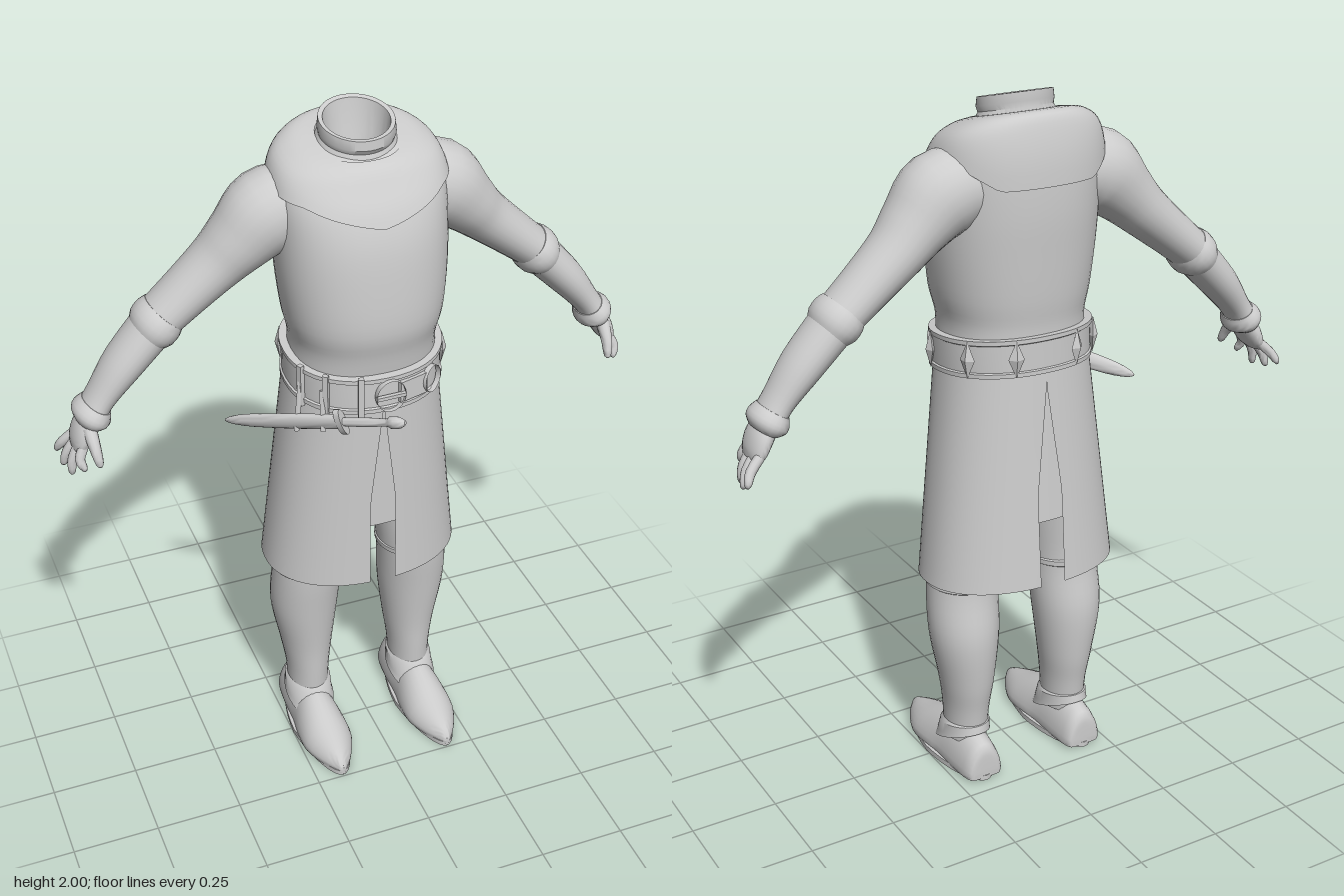
import * as THREE from 'three';
import { toCreasedNormals } from 'three/addons/utils/BufferGeometryUtils.js';

const TAU = Math.PI * 2;
const V = (x, y, z) => new THREE.Vector3(x, y, z);

// Smooth value of a table of rows at row position u
function rowAt(rows, u) {
  const last = rows.length - 1;
  const i = Math.min(Math.floor(u), last - 1), t = u - i;
  const get = (j) => rows[Math.max(0, Math.min(last, j))];
  return rows[0].map((_, k) => {
    const a = get(i - 1)[k], b = get(i)[k], c = get(i + 1)[k], d = get(i + 2)[k];
    return b + 0.5 * t * (c - a + t * (2 * a - 5 * b + 4 * c - d + t * (3 * (b - c) + d - a)));
  });
}
function dense(rows, k) {
  const out = [];
  for (let i = 0; i <= (rows.length - 1) * k; i++) out.push(rowAt(rows, i / k));
  return out;
}

// Point on a level section [y, cx, rx, zFront, zBack, tilt]; angle 0 faces the front
function sectionPoint([y, cx, rx, zf, zb, tilt = 0], a, off = 0, p = 2) {
  const pow = (v) => Math.sign(v) * Math.abs(v) ** (2 / p);
  const z = (zf + zb) / 2 + ((zf - zb) / 2 + off) * pow(Math.cos(a));
  return V(cx + (rx + off) * pow(Math.sin(a)), y + tilt * (z + 0.08), z);
}
const section = (row, p = 2, off = 0, n = 48) =>
  Array.from({ length: n }, (_, i) => sectionPoint(row, (i / n) * TAU, off, p));

// Skin over a list of rings
function loft(rings, { closed = true, capStart = false, capEnd = false } = {}) {
  const n = rings[0].length, pts = rings.flat(), idx = [];
  for (let i = 0; i < rings.length - 1; i++)
    for (let j = 0; j < (closed ? n : n - 1); j++) {
      const a = i * n + j, b = i * n + ((j + 1) % n);
      idx.push(a, b, a + n, b, b + n, a + n);
    }
  const cap = (ring, start, flip) => {
    const c = ring.reduce((s, q) => s.add(q), V(0, 0, 0)).divideScalar(n);
    const k = pts.push(c) - 1;
    for (let j = 0; j < n; j++) {
      const a = start + j, b = start + ((j + 1) % n);
      idx.push(k, flip ? b : a, flip ? a : b);
    }
  };
  if (capStart) cap(rings[0], 0, true);
  if (capEnd) cap(rings[rings.length - 1], (rings.length - 1) * n, false);
  // keep faces pointing outward
  const mid = pts.reduce((s, q) => s.add(q), V(0, 0, 0)).divideScalar(pts.length);
  let vol = 0;
  for (let i = 0; i < idx.length; i += 3) {
    const [a, b, c] = [0, 1, 2].map((k) => pts[idx[i + k]].clone().sub(mid));
    vol += a.dot(b.cross(c));
  }
  if (vol < 0) idx.reverse();
  const g = new THREE.BufferGeometry().setFromPoints(pts);
  g.setIndex(idx);
  return g;
}

// Tapered limb through rows [x, y, z, radius in plane, radius across]
function limb(rows, k = 4, n = 24) {
  const d = dense(rows, k), c = d.map((r) => V(r[0], r[1], r[2]));
  const rings = d.map((r, i) => {
    const t = c[Math.min(i + 1, c.length - 1)].clone().sub(c[Math.max(i - 1, 0)]).normalize();
    const u = t.clone().cross(V(0, 0, 1)).normalize(), v = t.clone().cross(u);
    return Array.from({ length: n }, (_, j) => c[i].clone()
      .addScaledVector(u, r[3] * Math.cos((j / n) * TAU))
      .addScaledVector(v, r[4] * Math.sin((j / n) * TAU)));
  });
  return loft(rings, { capStart: true, capEnd: true });
}

function mirrored(g) {
  const m = g.clone().scale(-1, 1, 1);
  m.setIndex(Array.from(g.index.array).reverse());
  return m;
}

export function createModel() {
  const model = new THREE.Group();
  const grey = new THREE.MeshStandardMaterial({ color: 0xcccccc, side: THREE.DoubleSide });
  grey.name = 'plain grey';
  const add = (name, g, crease = 0.8) => {
    g.deleteAttribute('normal');
    const mesh = new THREE.Mesh(toCreasedNormals(g, crease), grey);
    mesh.name = name;
    model.add(mesh);
  };
  const pair = (name, g, crease) => {
    add(name + 'Left', g.clone(), crease);
    add(name + 'Right', mirrored(g), crease);
  };

  // Tunic body
  const torso = [
    [1.93, 0, 0.105, 0.02, -0.17, -0.25], [1.92, 0, 0.16, 0.045, -0.205, -0.25],
    [1.885, 0, 0.21, 0.07, -0.225, -0.2], [1.81, 0, 0.232, 0.11, -0.243, -0.1],
    [1.7, 0, 0.234, 0.14, -0.248, 0], [1.58, 0, 0.23, 0.155, -0.243, 0],
    [1.46, 0, 0.217, 0.16, -0.236, 0], [1.38, 0, 0.2, 0.143, -0.228, 0],
    [1.3, 0, 0.205, 0.13, -0.23, 0],
  ];
  add('tunicBody', loft(dense(torso, 4).map((r) => section(r, 2.3))));

  // Shoulder mantle, pointed at front and back
  const mantle = [];
  for (let i = 0; i <= 13; i++) {
    mantle.push(Array.from({ length: 64 }, (_, j) => {
      const a = (j / 64) * TAU, d = Math.min(a, TAU - a);
      const edge = 2.75 + 0.65 * Math.max(0, 1 - d / 0.85) + 0.7 * Math.max(0, Math.min(1, (d - 1.9) / 0.7));
      return sectionPoint(rowAt(torso, edge * Math.min(1, i / 12)), a, i === 13 ? -0.005 : 0.013, 2.3);
    }));
  }
  add('mantle', loft(mantle));

  // Collar with a hollow inside
  add('collar', loft([
    [1.905, 0, 0.118, 0.035, -0.18, -0.25], [1.94, 0, 0.1, 0.022, -0.165, -0.25],
    [1.955, 0, 0.103, 0.03, -0.167, -0.25], [1.98, 0, 0.1, 0.028, -0.165, -0.25],
    [1.978, 0, 0.088, 0.016, -0.153, -0.25], [1.9, 0, 0.075, 0, -0.14, -0.25],
    [1.72, 0, 0.02, -0.05, -0.09, 0],
  ].map((r) => section(r)), { capEnd: true }), 0.6);

  // Skirt halves with slits in front and back
  const skirtRow = (y) => {
    const t = (1.3 - y) / 0.67;
    return [y, 0, 0.212 + 0.077 * t, 0.13, -0.232 - 0.053 * t, -0.05 * t];
  };
  const panel = [];
  for (let i = 0; i <= 16; i++) {
    const y = 1.3 - (0.67 * i) / 16, row = skirtRow(y);
    const slit = Math.max(0, Math.min(0.038, (1.22 - y) * 0.12));
    const a0 = Math.asin((slit / row[2]) ** 1.1);
    panel.push(Array.from({ length: 33 }, (_, j) => sectionPoint(row, a0 + ((Math.PI - 2 * a0) * j) / 32, 0, 2.2)));
  }
  pair('skirtPanel', loft(panel, { closed: false }));
  add('innerSkirt', loft([1.28, 1.05, 0.82].map((y) => section(skirtRow(y), 2.2, -0.012))));

  // Belt with raised edges
  const beltRow = (y) => [y, 0, 0.213, 0.147, -0.24, -0.1];
  add('belt', loft([[1.245, -0.02], [1.245, 0.01], [1.257, 0.01], [1.26, 0.005], [1.335, 0.005],
    [1.338, 0.01], [1.35, 0.01], [1.35, -0.02]].map(([y, o]) => section(beltRow(y), 2.2, o))), 0.5);
  const onBelt = (g, a, out = 0.012) => {
    const p = sectionPoint(beltRow(1.297), a, out, 2.2), q = sectionPoint(beltRow(1.297), a + 0.02, out, 2.2);
    return g.rotateY(Math.atan2(-(q.z - p.z), q.x - p.x)).translate(p.x, p.y, p.z);
  };
  for (const a of [1.35, 2.1, 2.75, -2.75, -2.1])
    add('beltStud', onBelt(new THREE.OctahedronGeometry(1).scale(0.022, 0.052, 0.014).setIndex([...Array(24).keys()]), a), 0.1);

  // Buckles, strap end and belt loops
  const frame = (w, h, r) => new THREE.TorusGeometry(1, r, 8, 24).scale(w, h, 1);
  add('buckle', onBelt(frame(0.042, 0.047, 0.009), 0.02, 0.014));
  add('secondBuckle', onBelt(frame(0.035, 0.04, 0.008), 0.62, 0.014));
  add('buckleTongue', onBelt(new THREE.BoxGeometry(0.085, 0.01, 0.012), 0.02, 0.02));
  add('strapEnd', onBelt(new THREE.BoxGeometry(0.09, 0.062, 0.012), 0.32, 0.008));
  for (const a of [-0.3, -0.75, -1.15]) add('beltLoop', onBelt(new THREE.BoxGeometry(0.016, 0.125, 0.014), a));

  // Sheathed dagger hung slanting across the right hip
  const from = V(0, 1.26, 0.28), to = V(-0.38, 1.125, -0.1);
  const along = (list) => list.map(([t, a, b]) => {
    const p = from.clone().lerp(to, t);
    return [p.x, p.y, p.z, a, b];
  });
  add('scabbard', limb(along([[0.36, 0.024, 0.014], [0.6, 0.026, 0.014], [0.85, 0.022, 0.012], [0.96, 0.013, 0.008], [1, 0.003, 0.003]]), 3, 16));
  add('daggerGrip', limb(along([[0, 0.006, 0.006], [0.03, 0.017, 0.014], [0.08, 0.018, 0.014], [0.1, 0.011, 0.01], [0.22, 0.014, 0.012], [0.36, 0.012, 0.01]]), 2, 16));
  add('daggerGuard', limb(along([[0.33, 0.045, 0.016], [0.36, 0.045, 0.016]]), 1, 16));
  for (const t of [0.45, 0.6]) {
    const p = from.clone().lerp(to, t), top = sectionPoint(beltRow(1.31), t === 0.45 ? -0.8 : -1.15, 0.012, 2.2);
    add('daggerStrap', limb([[top.x, top.y, top.z, 0.008, 0.006], [p.x, p.y - 0.025, p.z + 0.01, 0.008, 0.006]], 1, 8));
  }

  // Sleeves, elbow cuffs and bracers
  pair('sleeve', limb([
    [0.15, 1.765, -0.1, 0.1, 0.1], [0.24, 1.745, -0.095, 0.116, 0.112], [0.315, 1.68, -0.1, 0.092, 0.1],
    [0.375, 1.622, -0.108, 0.076, 0.088], [0.46, 1.55, -0.112, 0.066, 0.08], [0.56, 1.467, -0.115, 0.058, 0.076],
  ]));
  pair('elbowCuff', limb([
    [0.528, 1.497, -0.113, 0.06, 0.077], [0.542, 1.482, -0.113, 0.068, 0.084],
    [0.562, 1.46, -0.113, 0.068, 0.084], [0.578, 1.443, -0.113, 0.056, 0.073],
  ], 2));
  pair('bracer', limb([
    [0.56, 1.463, -0.113, 0.059, 0.075], [0.65, 1.368, -0.11, 0.053, 0.07],
    [0.715, 1.287, -0.107, 0.041, 0.058], [0.745, 1.243, -0.106, 0.04, 0.06],
  ]));
  pair('wristCuff', limb([
    [0.732, 1.262, -0.106, 0.042, 0.06], [0.744, 1.243, -0.106, 0.054, 0.07],
    [0.754, 1.226, -0.106, 0.052, 0.069], [0.762, 1.212, -0.106, 0.036, 0.055],
  ], 2));

  // Hands
  pair('palm', limb([
    [0.747, 1.235, -0.105, 0.03, 0.046], [0.77, 1.2, -0.103, 0.031, 0.058],
    [0.787, 1.165, -0.105, 0.026, 0.058], [0.798, 1.142, -0.105, 0.015, 0.048],
  ]));
  [[-0.063, -0.04, 1.098, 0.795], [-0.09, -0.083, 1.068, 0.82], [-0.118, -0.128, 1.072, 0.832], [-0.145, -0.172, 1.092, 0.838]]
    .forEach(([z0, z1, y, x]) => pair('finger', limb([
      [0.785, 1.165, z0, 0.014, 0.014], [(0.792 + x) / 2 + 0.008, (1.165 + y) / 2, (z0 + z1) / 2, 0.014, 0.013],
      [x, y + 0.01, z1, 0.01, 0.01], [x + 0.001, y, z1, 0.003, 0.003],
    ], 3, 12)));
  pair('thumb', limb([
    [0.765, 1.21, -0.065, 0.02, 0.02], [0.762, 1.172, -0.028, 0.016, 0.016],
    [0.758, 1.135, -0.008, 0.011, 0.011], [0.757, 1.125, -0.004, 0.004, 0.004],
  ], 3, 12));

  // Legs with greaves
  const leg = [
    [1.0, 0.125, 0.11, 0.05, -0.19], [0.75, 0.15, 0.106, 0.052, -0.17], [0.6, 0.165, 0.103, 0.048, -0.167],
    [0.45, 0.172, 0.1, 0.03, -0.187], [0.3, 0.168, 0.078, 0.012, -0.177],
    [0.2, 0.167, 0.064, 0.006, -0.16], [0.1, 0.168, 0.06, 0, -0.148],
  ];
  pair('leg', loft(dense(leg, 5).map((r) => section(r, 2, 0, 32)), { capStart: true, capEnd: true }));
  pair('kneeBand', loft([[0.625, 0.163, 0.1, 0.045, -0.165], [0.62, 0.163, 0.107, 0.053, -0.171],
    [0.605, 0.164, 0.107, 0.052, -0.171], [0.6, 0.165, 0.1, 0.045, -0.165]].map((r) => section(r, 2, 0, 32))));
  pair('ankleGuard', loft([[0.155, 0.168, 0.06, 0.002, -0.15, -0.1], [0.145, 0.168, 0.068, 0.012, -0.157, -0.15],
    [0.115, 0.169, 0.07, 0.03, -0.16, -0.35], [0.1, 0.169, 0.073, 0.042, -0.162, -0.4],
    [0.1, 0.169, 0.06, 0.02, -0.15, -0.4]].map((r) => section(r, 2, 0, 32))), 0.6);

  // Pointed shoes: sections [z, half width, height]
  const shoe = [[-0.202, 0.035, 0.07], [-0.19, 0.056, 0.115], [-0.11, 0.066, 0.14], [-0.02, 0.068, 0.14],
    [0.05, 0.076, 0.118], [0.12, 0.074, 0.09], [0.19, 0.046, 0.064], [0.23, 0.019, 0.046], [0.246, 0.006, 0.03]];
  pair('shoe', loft(dense(shoe, 3).map(([z, w, h]) => Array.from({ length: 28 }, (_, i) => {
    const a = (i / 28) * TAU, s = Math.sin(a);
    return V(0.17 + w * Math.cos(a), s > 0 ? 0.02 + (h - 0.02) * s ** 1.2 : Math.max(0.008, 0.02 + 0.04 * s), z);
  })), { capStart: true, capEnd: true }), 0.9);
  pair('shoeSole', loft([0, 0.016].map((y) => Array.from({ length: 36 }, (_, i) => {
    const a = (i / 36) * TAU, c = Math.cos(a), z = 0.02 + 0.225 * c;
    return V(0.17 + 0.08 * Math.sin(a) * (c > 0 ? 1 - 0.25 * c : 1 + 0.08 * c), y, z);
  })), { capStart: true, capEnd: true }), 0.5);

  return model;
}
